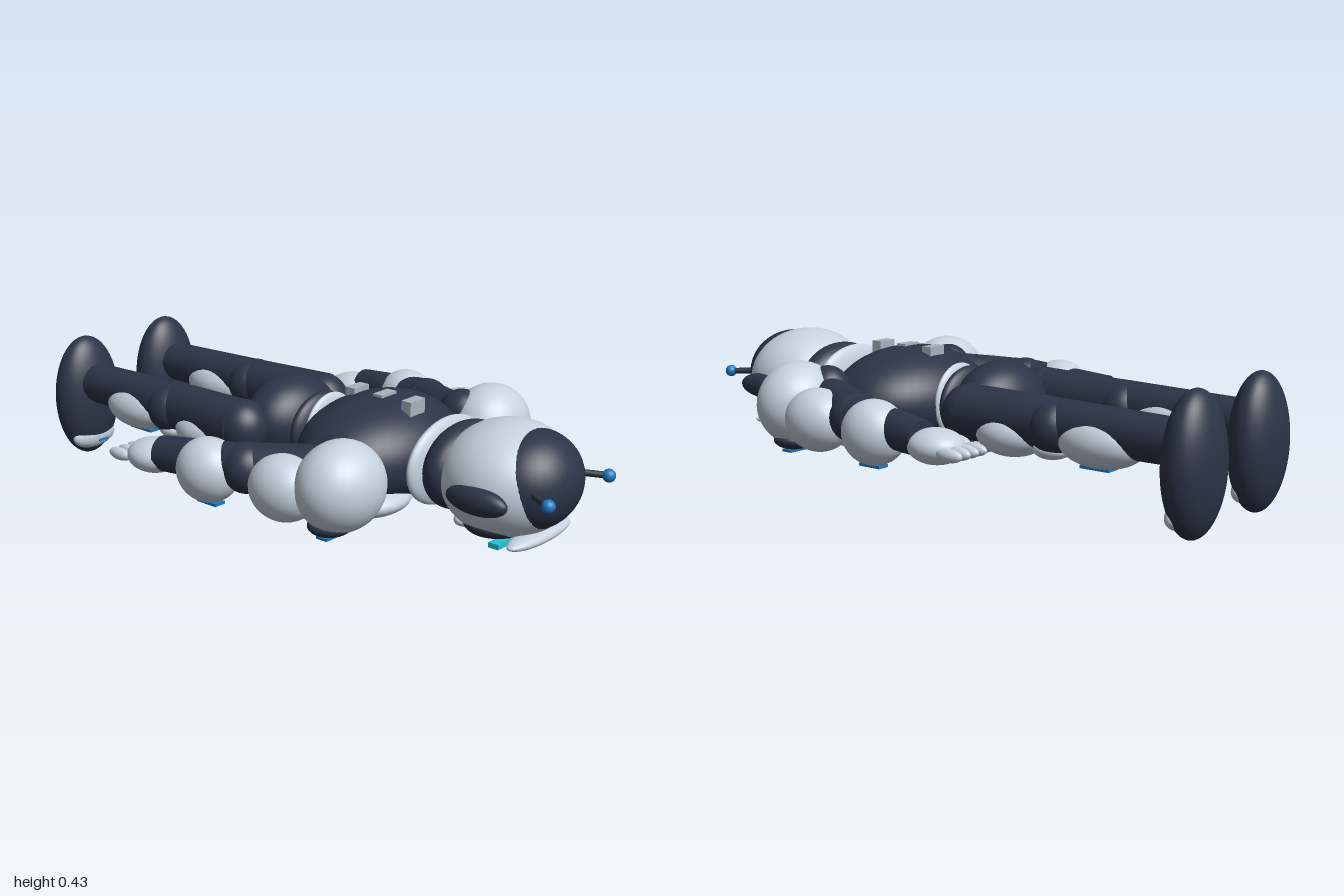
import * as THREE from 'three';

const mat = (name, color) => {
  const m = new THREE.MeshStandardMaterial({ color });
  m.name = name;
  return m;
};

export function createModel() {
  const white = mat('pale armour', 0xc6d2de);
  const dark = mat('dark navy', 0x2b3447);
  const blue = mat('blue light', 0x1f78c1);
  const cyan = mat('cyan eye', 0x25c3d6);
  const grey = mat('grey metal', 0xa9b3be);
  const root = new THREE.Group();
  root.name = 'robotLyingProne';
  const ball = new THREE.SphereGeometry(1, 40, 28);

  const add = (parent, name, geo, m, p) => {
    const mesh = new THREE.Mesh(geo, m);
    mesh.name = name;
    mesh.position.set(...p);
    parent.add(mesh);
    return mesh;
  };
  const egg = (parent, name, m, p, r) => {
    const e = add(parent, name, ball, m, p);
    e.scale.set(...r);
    return e;
  };
  const box = (parent, name, m, p, s) => add(parent, name, new THREE.BoxGeometry(...s), m, p);
  // Tapered cylinder between two points
  const limb = (parent, name, m, a, b, ra, rb) => {
    const A = new THREE.Vector3(...a), B = new THREE.Vector3(...b);
    const d = B.clone().sub(A);
    const c = add(parent, name, new THREE.CylinderGeometry(rb, ra, d.length(), 28), m, A.clone().add(B).multiplyScalar(0.5).toArray());
    c.quaternion.setFromUnitVectors(new THREE.Vector3(0, 1, 0), d.normalize());
    return c;
  };

  // Head, facing the ground
  const head = new THREE.Group();
  head.name = 'head';
  root.add(head);
  egg(head, 'skull', white, [0, 0.26, 0.745], [0.21, 0.172, 0.2]);
  egg(head, 'crownCap', dark, [0, 0.272, 0.82], [0.168, 0.148, 0.145]);
  egg(head, 'visor', dark, [0, 0.145, 0.745], [0.165, 0.053, 0.11]);
  egg(head, 'brow', white, [0, 0.112, 0.855], [0.155, 0.023, 0.042]);
  egg(head, 'chin', white, [0, 0.12, 0.635], [0.1, 0.034, 0.04]);
  egg(head, 'neck', dark, [0, 0.262, 0.59], [0.18, 0.133, 0.085]);
  egg(root, 'collar', white, [0, 0.26, 0.52], [0.19, 0.135, 0.037]);

  // Torso, waist and pelvis
  egg(root, 'torso', dark, [0, 0.247, 0.265], [0.3, 0.168, 0.225]);
  egg(root, 'coreHousing', dark, [0, 0.11, 0.265], [0.1, 0.047, 0.07]);
  add(root, 'coreLight', new THREE.CylinderGeometry(0.05, 0.05, 0.02, 32), blue, [0, 0.065, 0.265]);
  for (const z of [0.17, 0.28, 0.39]) box(root, 'spineBlock', grey, [0, 0.398, z], [0.07, 0.046, 0.036]);
  egg(root, 'waistRing', white, [0, 0.25, 0.06], [0.12, 0.125, 0.025]);
  egg(root, 'waist', dark, [0, 0.25, 0.02], [0.14, 0.12, 0.04]);
  egg(root, 'pelvis', dark, [0, 0.26, -0.11], [0.18, 0.14, 0.125]);
  egg(root, 'pelvisPlate', white, [0, 0.15, -0.1], [0.13, 0.035, 0.06]);

  for (const s of [1, -1]) {
    const side = s > 0 ? 'left' : 'right';
    const P = (x, y, z) => [s * x, y, z];

    // Head details
    egg(head, side + 'EarPad', dark, P(0.2, 0.25, 0.77), [0.036, 0.042, 0.102]);
    box(head, side + 'Eye', cyan, P(0.075, 0.09, 0.78), [0.09, 0.016, 0.035]);
    limb(head, side + 'Antenna', dark, P(0.11, 0.28, 0.88), P(0.16, 0.276, 0.975), 0.01, 0.01);
    egg(head, side + 'AntennaTip', blue, P(0.16, 0.276, 0.978), [0.02, 0.02, 0.02]);

    // Chest and pelvis details
    egg(root, side + 'ChestPlate', white, P(0.14, 0.135, 0.335), [0.145, 0.05, 0.125]);
    box(root, side + 'ChestVent', dark, P(0.15, 0.087, 0.34), [0.06, 0.008, 0.04]);
    box(root, side + 'PelvisLight', blue, P(0.05, 0.117, -0.1), [0.06, 0.008, 0.025]);

    // Arm
    const arm = new THREE.Group();
    arm.name = side + 'Arm';
    root.add(arm);
    egg(arm, 'shoulder', white, P(0.37, 0.255, 0.42), [0.146, 0.136, 0.125]);
    egg(arm, 'shoulderPad', dark, P(0.4, 0.145, 0.41), [0.075, 0.033, 0.065]);
    box(arm, 'shoulderLight', blue, P(0.405, 0.111, 0.41), [0.075, 0.008, 0.04]);
    egg(arm, 'shoulderJoint', dark, P(0.305, 0.3, 0.355), [0.07, 0.075, 0.075]);
    limb(arm, 'upperArm', dark, P(0.315, 0.275, 0.35), P(0.435, 0.265, 0.11), 0.07, 0.065);
    egg(arm, 'upperArmPlate', white, P(0.44, 0.23, 0.265), [0.095, 0.1, 0.115]);
    egg(arm, 'elbow', dark, P(0.438, 0.255, 0.115), [0.078, 0.078, 0.075]);
    limb(arm, 'forearm', dark, P(0.445, 0.262, 0.1), P(0.488, 0.24, -0.2), 0.066, 0.055);
    egg(arm, 'forearmPlate', white, P(0.48, 0.232, -0.005), [0.093, 0.1, 0.105]);
    box(arm, 'forearmLight', blue, P(0.48, 0.132, 0), [0.04, 0.009, 0.08]);
    egg(arm, 'palm', white, P(0.48, 0.223, -0.245), [0.08, 0.053, 0.09]);
    egg(arm, 'thumb', white, P(0.393, 0.22, -0.235), [0.025, 0.025, 0.065]);
    for (let i = 0; i < 4; i++)
      egg(arm, 'finger', white, P(0.427 + i * 0.037, 0.218, -0.34), [0.018, 0.02, 0.046]);

    // Leg
    const leg = new THREE.Group();
    leg.name = side + 'Leg';
    root.add(leg);
    egg(leg, 'hip', dark, P(0.195, 0.265, -0.14), [0.085, 0.09, 0.085]);
    limb(leg, 'thigh', dark, P(0.2, 0.27, -0.14), P(0.188, 0.268, -0.44), 0.085, 0.08);
    egg(leg, 'thighPlate', white, P(0.185, 0.225, -0.3), [0.108, 0.075, 0.12]);
    egg(leg, 'knee', dark, P(0.19, 0.262, -0.463), [0.095, 0.085, 0.08]);
    egg(leg, 'kneePad', white, P(0.19, 0.195, -0.45), [0.065, 0.033, 0.06]);
    limb(leg, 'shin', dark, P(0.19, 0.273, -0.44), P(0.188, 0.268, -0.88), 0.075, 0.068);
    egg(leg, 'shinPlate', white, P(0.19, 0.237, -0.62), [0.097, 0.078, 0.145]);
    box(leg, 'shinLight', blue, P(0.19, 0.16, -0.61), [0.05, 0.009, 0.1]);
    egg(leg, 'foot', dark, P(0.188, 0.213, -0.92), [0.126, 0.213, 0.08]);
    egg(leg, 'toeCap', white, P(0.19, 0.07, -0.893), [0.09, 0.045, 0.035]);
    box(leg, 'toeLight', blue, P(0.175, 0.055, -0.86), [0.04, 0.008, 0.008]);
  }
  return root;
}
